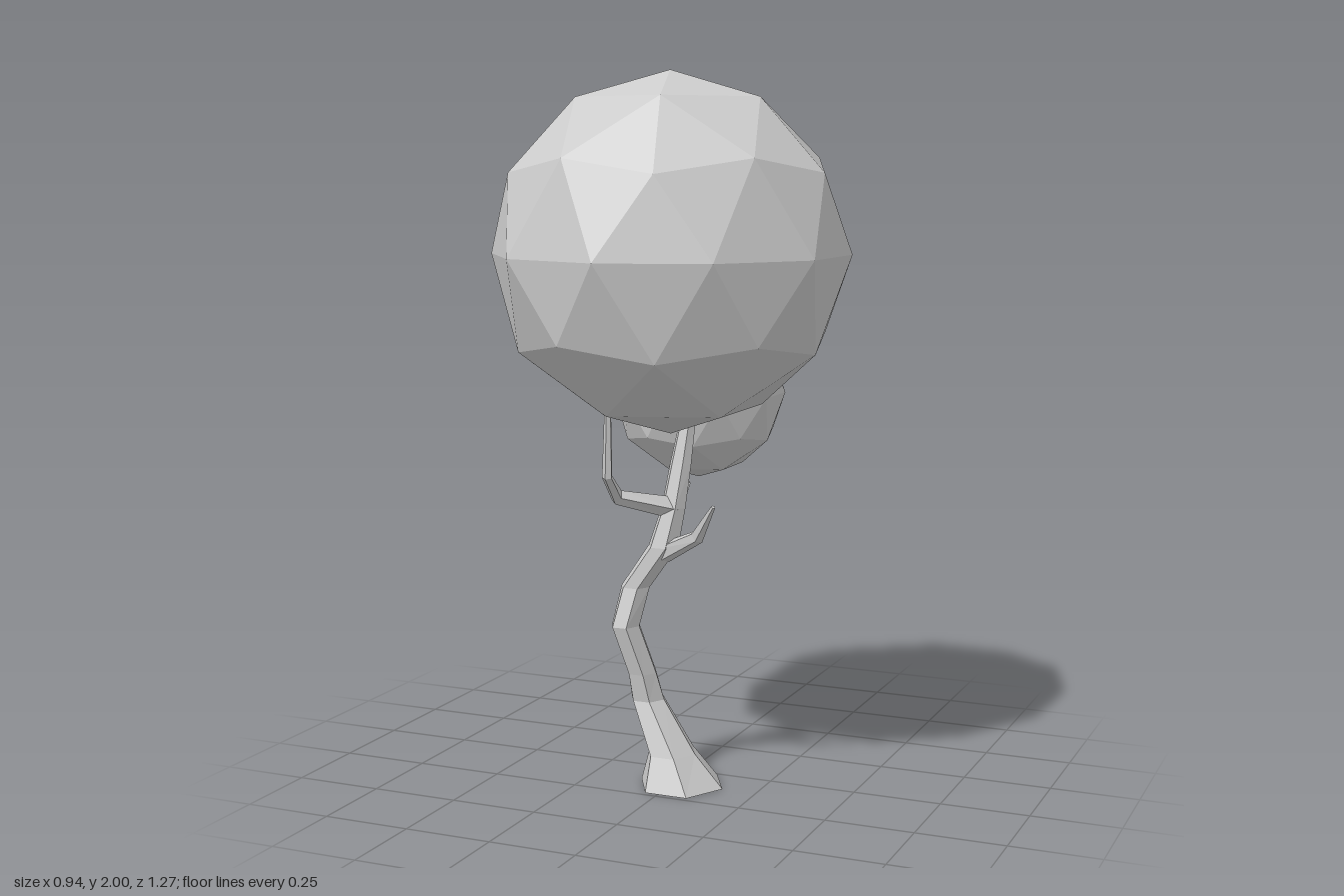
import * as THREE from 'three';

const material = new THREE.MeshStandardMaterial({ color: 0xcccccc, flatShading: true });

// Sweep a faceted tube through rows of [x, y, z, radiusX, radiusZ]; level keeps every ring horizontal.
function limb(name, rows, sides, level = false) {
  const centres = rows.map(([x, y, z]) => new THREE.Vector3(x, y, z));
  const positions = [];
  const index = [];
  const last = rows.length - 1;
  rows.forEach(([, , , rx, rz = rx], i) => {
    const t = level
      ? new THREE.Vector3(0, 1, 0)
      : centres[Math.min(i + 1, last)].clone().sub(centres[Math.max(i - 1, 0)]).normalize();
    const u = level
      ? new THREE.Vector3(0, 0, 1)
      : t.clone().cross(new THREE.Vector3(1, 0, 0)).normalize();
    const v = t.clone().cross(u);
    for (let j = 0; j < sides; j++) {
      const a = ((j + 0.5) / sides) * Math.PI * 2;
      const p = centres[i].clone()
        .addScaledVector(u, Math.cos(a) * rz)
        .addScaledVector(v, Math.sin(a) * rx);
      positions.push(p.x, p.y, p.z);
    }
  });
  for (let i = 0; i < last; i++) {
    for (let j = 0; j < sides; j++) {
      const k = (j + 1) % sides;
      const a = i * sides + j, b = i * sides + k;
      index.push(a, b, b + sides, a, b + sides, a + sides);
    }
  }
  // End caps
  for (let j = 1; j < sides - 1; j++) {
    const e = last * sides;
    index.push(0, j + 1, j, e, e + j, e + j + 1);
  }
  const geometry = new THREE.BufferGeometry();
  geometry.setAttribute('position', new THREE.Float32BufferAttribute(positions, 3));
  geometry.setIndex(index);
  const flat = geometry.toNonIndexed();
  flat.computeVertexNormals();
  const mesh = new THREE.Mesh(flat, material);
  mesh.name = name;
  return mesh;
}

// Faceted ball of leaves with one vertex pointing straight up
function foliage(name, radius, x, y, z) {
  const geometry = new THREE.IcosahedronGeometry(radius, 1);
  geometry.rotateZ(-Math.atan(2 / (1 + Math.sqrt(5))));
  const mesh = new THREE.Mesh(geometry, material);
  mesh.name = name;
  mesh.position.set(x, y, z);
  return mesh;
}

export function createModel() {
  const tree = new THREE.Group();
  tree.name = 'tree';

  // Crooked trunk with a flared foot
  tree.add(limb('trunk', [
    [0.025, 0, 0.12, 0.125, 0.132],
    [0.0, 0.095, 0.13, 0.07, 0.082],
    [-0.08, 0.24, 0.118, 0.05, 0.054],
    [-0.09, 0.32, 0.135, 0.043, 0.05],
    [-0.125, 0.46, 0.17, 0.042, 0.05],
    [-0.103, 0.57, 0.15, 0.043, 0.043],
    [-0.02, 0.69, 0.143, 0.045, 0.045],
    [0.005, 0.8, 0.13, 0.036, 0.036],
    [0.02, 0.92, 0.115, 0.032, 0.028],
    [0.035, 1.04, 0.1, 0.024, 0.022],
  ], 6, true));

  // Bare twig
  tree.add(limb('bareBranch', [
    [-0.02, 0.67, 0.145, 0.03],
    [0.105, 0.735, 0.195, 0.02],
    [0.17, 0.83, 0.24, 0.006],
  ], 5));

  // Front branch bending up into the crown
  tree.add(limb('frontBranch', [
    [0.005, 0.8, 0.13, 0.033],
    [-0.112, 0.84, 0.25, 0.022],
    [-0.11, 0.905, 0.315, 0.015],
    [-0.1, 1.12, 0.33, 0.009],
  ], 5));

  // Rear branch carrying the small leaf ball
  tree.add(limb('rearBranch', [
    [0.015, 0.855, 0.11, 0.032],
    [-0.1, 0.862, -0.12, 0.018],
    [-0.118, 0.91, -0.19, 0.014],
    [-0.13, 0.97, -0.26, 0.009],
  ], 5));

  tree.add(foliage('largeFoliage', 0.496, 0, 1.504, 0.137));
  tree.add(foliage('smallFoliage', 0.261, -0.13, 1.061, -0.374));
  return tree;
}
